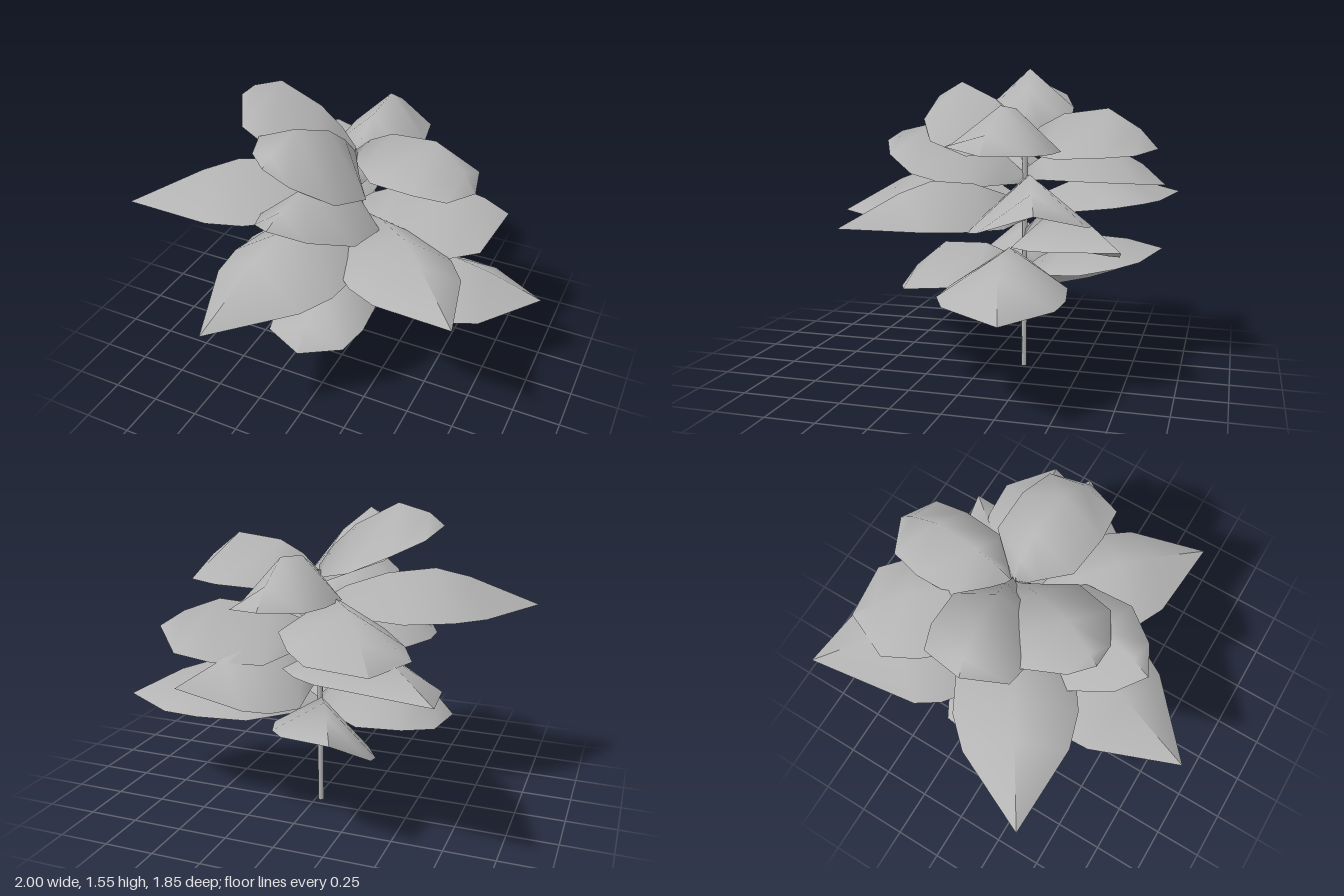
import * as THREE from 'three';

const STEM = { x: -0.02, z: -0.2 };

// A tented leaf: a ridge arching from the stem to the tip, with lower edges on both sides.
// tip: point of the leaf; base: height at the stem; rise: ridge height above the edges;
// width: half width; shoulder: where the outline turns to the tip; end: relative width there;
// a, b: edge height offsets; bend: sideways bow towards edge a
function leafGeometry({ tip, base, rise, width, shoulder, end = 0.84, a = 0, b = 0, bend = 0 }) {
  const dx = tip[0] - STEM.x, dz = tip[2] - STEM.z;
  const length = Math.hypot(dx, dz);
  const px = -dz / length, pz = dx / length;
  const peak = 0.5 + (shoulder - 0.65) * 0.6;
  const fall = Math.pow((1 - shoulder) / (1 - peak), 0.7);
  // position along the leaf, relative ridge height, relative width
  const rows = [
    [0, 0.3, 0.03], [0.12, 0.65, 0.38], [0.3, 0.92, 0.95],
    [peak, 1, 1], [shoulder, fall, end], [1, 0, 0],
  ];
  const positions = [], index = [];
  rows.forEach(([t, ridge, w], i) => {
    const bow = bend * Math.sin(Math.PI * t);
    const x = STEM.x + dx * t + px * bow, z = STEM.z + dz * t + pz * bow;
    const y = base + (tip[1] - base) * t;
    const half = w * width;
    positions.push(
      x + px * half, y + a * w, z + pz * half,
      x, y + rise * ridge, z,
      x - px * half, y + b * w, z - pz * half,
    );
    if (i === rows.length - 1) return;
    for (let k = 0; k < 2; k++) {
      const p = i * 3 + k;
      index.push(p, p + 3, p + 4, p, p + 4, p + 1);
    }
  });
  const geometry = new THREE.BufferGeometry();
  geometry.setAttribute('position', new THREE.Float32BufferAttribute(positions, 3));
  geometry.setIndex(index);
  geometry.computeVertexNormals();
  return geometry;
}

const LEAVES = [
  // top whorl
  { tip: [0, 1.16, -0.87], base: 1.12, rise: 0.21, width: 0.21, shoulder: 0.87, a: -0.02 },
  { tip: [0.64, 1.16, -0.15], base: 1.15, rise: 0.22, width: 0.24, shoulder: 0.9, a: 0.04, bend: -0.02 },
  { tip: [-0.61, 1.45, -0.1], base: 1.18, rise: 0.2, width: 0.24, shoulder: 0.88, a: -0.01, b: -0.05 },
  { tip: [-0.23, 1.35, 0.37], base: 1.15, rise: 0.2, width: 0.27, shoulder: 0.92, end: 0.48, a: 0.06, b: -0.1 },
  // upper whorl
  { tip: [-1, 0.99, 0.41], base: 1, rise: 0.21, width: 0.3, shoulder: 0.67 },
  { tip: [-0.1, 1.17, 0.58], base: 0.97, rise: 0.17, width: 0.27, shoulder: 0.88, end: 0.55, a: -0.07, b: -0.07, bend: -0.03 },
  { tip: [-0.5, 0.93, -0.87], base: 0.99, rise: 0.19, width: 0.27, shoulder: 0.83, end: 0.88, a: 0.02 },
  { tip: [0.75, 0.92, -0.42], base: 0.86, rise: 0.17, width: 0.29, shoulder: 0.84, a: -0.1, b: -0.07 },
  // middle whorl
  { tip: [0.77, 0.83, 0.48], base: 0.78, rise: 0.21, width: 0.28, shoulder: 0.69 },
  { tip: [-0.28, 0.75, 0.92], base: 0.81, rise: 0.24, width: 0.32, shoulder: 0.66 },
  { tip: [0.48, 0.73, -0.76], base: 0.68, rise: 0.17, width: 0.25, shoulder: 0.67, b: -0.08 },
  { tip: [-0.79, 0.86, -0.93], base: 0.8, rise: 0.17, width: 0.35, shoulder: 0.59, end: 0.92, a: 0.04, b: -0.1 },
  // bottom whorl
  { tip: [1, 0.5, -0.33], base: 0.5, rise: 0.21, width: 0.3, shoulder: 0.73, bend: 0.05 },
  { tip: [-0.67, 0.5, -0.03], base: 0.51, rise: 0.22, width: 0.26, shoulder: 0.86 },
  { tip: [-0.02, 0.39, 0.48], base: 0.46, rise: 0.23, width: 0.25, shoulder: 0.87, a: 0.01, b: 0.03 },
  { tip: [-0.33, 0.61, -0.88], base: 0.49, rise: 0.13, width: 0.24, shoulder: 0.74, b: -0.15 },
];

export function createModel() {
  const group = new THREE.Group();
  group.name = 'plant';
  const grey = new THREE.MeshStandardMaterial({ color: 0xb4b4b4, side: THREE.DoubleSide });
  grey.name = 'plain grey';

  // Thin upright stem, leaning very slightly
  const path = new THREE.LineCurve3(
    new THREE.Vector3(-0.028, 0, STEM.z),
    new THREE.Vector3(STEM.x, 1.22, STEM.z),
  );
  const stem = new THREE.Mesh(new THREE.TubeGeometry(path, 1, 0.014, 6), grey);
  stem.name = 'stem';
  group.add(stem);

  // Whorls of leaves
  LEAVES.forEach((spec, i) => {
    const leaf = new THREE.Mesh(leafGeometry(spec), grey);
    leaf.name = `leaf${i + 1}`;
    group.add(leaf);
  });
  return group;
}
